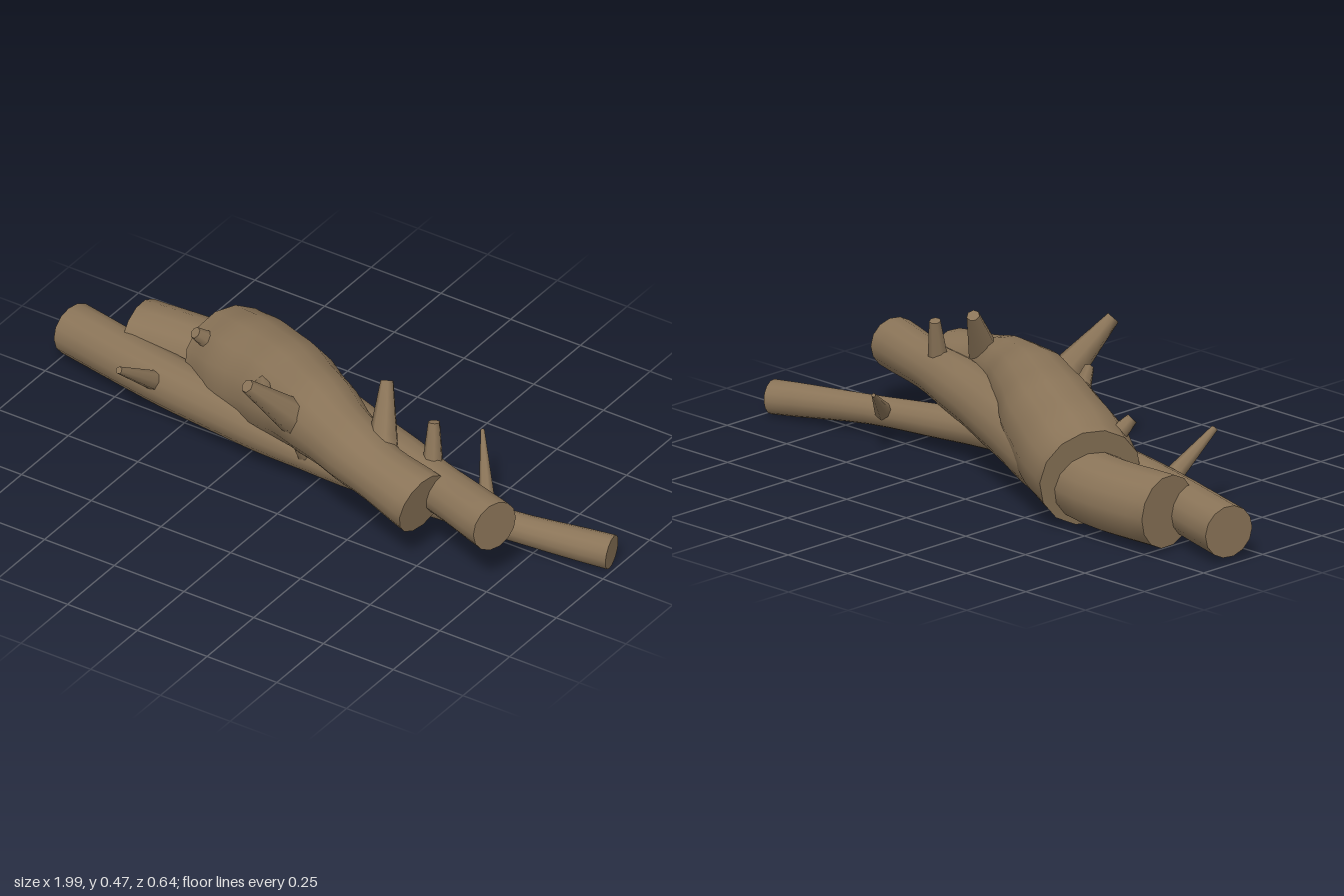
import * as THREE from 'three';

const bark = new THREE.MeshStandardMaterial({ color: 0x8a7458 });

// Tapered round limb swept along points [x, y, z, radius], with flat end caps.
function limb(name, points, sides, steps) {
  const curve = new THREE.CatmullRomCurve3(points.map(p => new THREE.Vector3(p[0], p[1], p[2])));
  const pos = [], index = [], rings = [];
  const last = points.length - 1;
  const up = new THREE.Vector3(0, 1, 0);
  for (let i = 0; i <= steps; i++) {
    const t = i / steps;
    const c = curve.getPoint(t), dir = curve.getTangent(t);
    const side = new THREE.Vector3().crossVectors(up, dir).normalize();
    const top = new THREE.Vector3().crossVectors(dir, side);
    // radius eased between the control points
    const k = Math.min(Math.floor(t * last), last - 1), f = t * last - k;
    const r = THREE.MathUtils.lerp(points[k][3], points[k + 1][3], f * f * (3 - 2 * f));
    const ring = [];
    for (let j = 0; j < sides; j++) {
      const a = (j / sides) * Math.PI * 2;
      ring.push(c.clone().addScaledVector(side, Math.cos(a) * r).addScaledVector(top, Math.sin(a) * r));
    }
    ring.forEach(v => pos.push(v.x, v.y, v.z));
    rings.push({ c, ring });
  }
  for (let i = 0; i < steps; i++) {
    for (let j = 0; j < sides; j++) {
      const a = i * sides + j, b = i * sides + (j + 1) % sides;
      index.push(a, b, a + sides, b, b + sides, a + sides);
    }
  }
  // caps use their own vertices so the rims stay sharp
  for (const [end, flip] of [[rings[0], true], [rings[steps], false]]) {
    const start = pos.length / 3;
    [end.c, ...end.ring].forEach(v => pos.push(v.x, v.y, v.z));
    for (let j = 0; j < sides; j++) {
      const a = start + 1 + j, b = start + 1 + (j + 1) % sides;
      if (flip) index.push(start, b, a);
      else index.push(start, a, b);
    }
  }
  const geo = new THREE.BufferGeometry();
  geo.setAttribute('position', new THREE.Float32BufferAttribute(pos, 3));
  geo.setIndex(index);
  geo.computeVertexNormals();
  const mesh = new THREE.Mesh(geo, bark);
  mesh.name = name;
  return mesh;
}

export function createModel() {
  const group = new THREE.Group();
  group.name = 'logPile';

  // Three crossing logs
  group.add(limb('thinLog', [
    [-0.977, 0.095, -0.12, 0.082], [-0.6, 0.11, -0.03, 0.081], [-0.25, 0.12, 0.03, 0.077],
    [0.05, 0.11, 0.055, 0.062], [0.35, 0.09, 0.04, 0.052], [0.65, 0.073, 0.005, 0.045],
    [0.985, 0.053, -0.07, 0.053],
  ], 14, 24));
  group.add(limb('middleLog', [
    [-0.77, 0.122, -0.17, 0.113], [-0.5, 0.127, -0.178, 0.113], [-0.25, 0.15, -0.13, 0.108],
    [0, 0.18, -0.045, 0.1], [0.28, 0.2, 0.055, 0.09], [0.52, 0.21, 0.13, 0.075],
    [0.75, 0.213, 0.207, 0.08],
  ], 14, 24));
  group.add(limb('thickLog', [
    [-0.455, 0.158, -0.18, 0.16], [-0.33, 0.186, -0.12, 0.17], [-0.17, 0.228, -0.045, 0.157],
    [0, 0.263, 0.05, 0.132], [0.18, 0.263, 0.142, 0.108], [0.34, 0.24, 0.195, 0.092],
    [0.5, 0.208, 0.22, 0.1],
  ], 14, 24));

  // Broken twigs: base, tip, base radius, tip radius
  const twigs = [
    [[-0.005, 0.29, 0.15], [-0.075, 0.46, 0.3], 0.056, 0.021],
    [[0.31, 0.28, 0.15], [0.25, 0.453, 0.035], 0.052, 0.02],
    [[0.45, 0.25, 0.09], [0.435, 0.388, 0.06], 0.033, 0.018],
    [[0.58, 0.085, -0.01], [0.435, 0.215, -0.2], 0.028, 0.006],
    [[-0.585, 0.13, 0.02], [-0.605, 0.26, 0.195], 0.032, 0.011],
    [[-0.005, 0.125, 0.09], [-0.008, 0.23, 0.16], 0.028, 0.012],
    [[-0.16, 0.31, 0.08], [-0.105, 0.338, 0.165], 0.03, 0.017],
    [[-0.45, 0.25, -0.09], [-0.482, 0.315, -0.03], 0.035, 0.018],
  ];
  twigs.forEach(([base, tip, r0, r1], i) => {
    const mid = base.map((v, k) => (v + tip[k]) / 2);
    group.add(limb('twig' + (i + 1), [[...base, r0], [...mid, (r0 + r1) * 0.5], [...tip, r1]], 7, 4));
  });
  return group;
}
